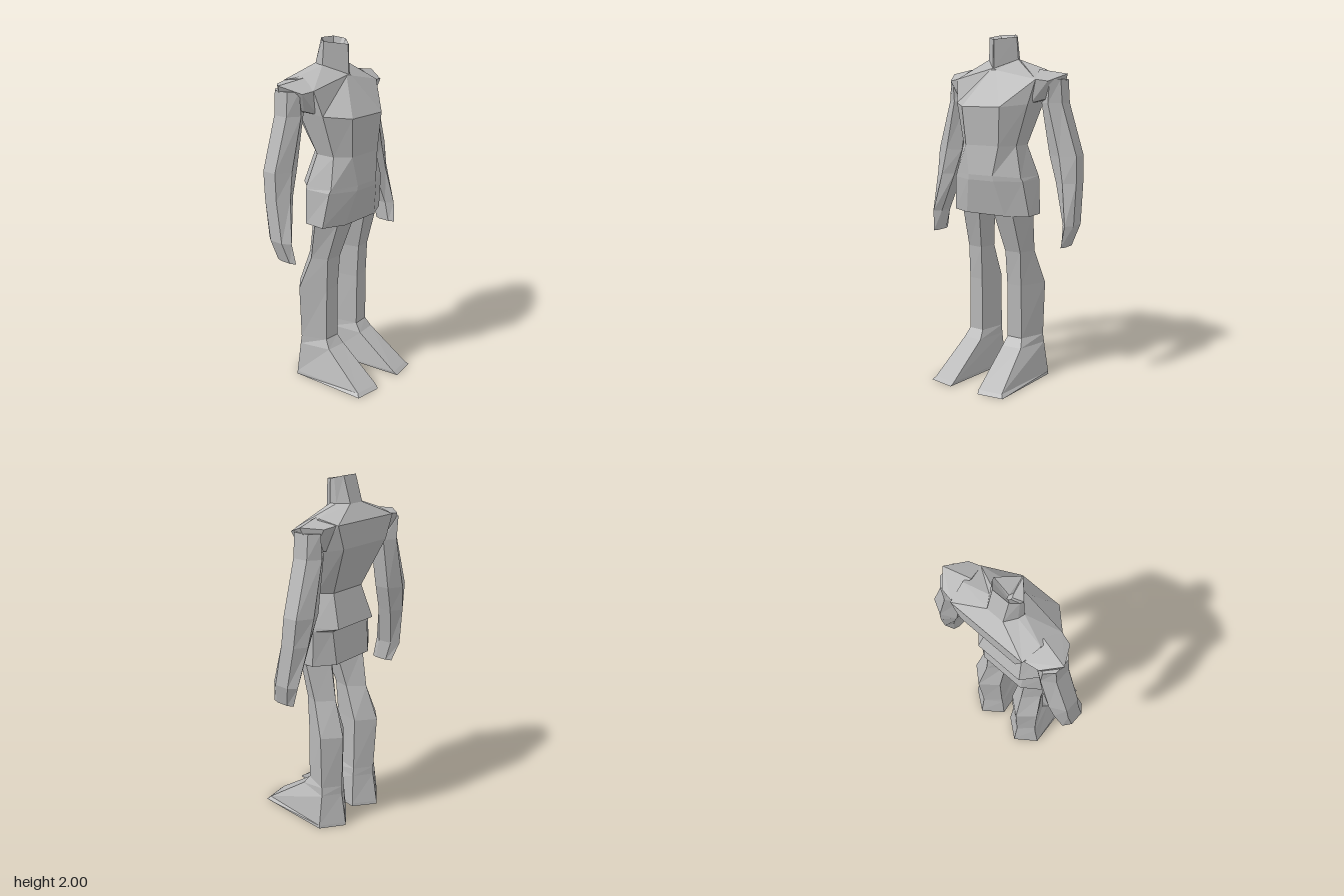
import * as THREE from 'three';
import { ConvexGeometry } from 'three/addons/geometries/ConvexGeometry.js';

// Skin between rings listed bottom to top; points run front, +x, back, -x.
function loft(rings) {
  const pos = [];
  const n = rings[0].length;
  const tri = (...pts) => pts.forEach((p) => pos.push(...p));
  for (let r = 0; r < rings.length - 1; r++) {
    const a = rings[r], b = rings[r + 1];
    for (let i = 0; i < n; i++) {
      const j = (i + 1) % n;
      tri(a[i], a[j], b[j]);
      tri(a[i], b[j], b[i]);
    }
  }
  const bottom = rings[0], top = rings[rings.length - 1];
  for (let i = 1; i < n - 1; i++) {
    tri(bottom[0], bottom[i + 1], bottom[i]);
    tri(top[0], top[i], top[i + 1]);
  }
  const g = new THREE.BufferGeometry();
  g.setAttribute('position', new THREE.Float32BufferAttribute(pos, 3));
  g.computeVertexNormals();
  return g;
}

const flip = ([x, y, z]) => [-x, y, z];
// Complete a half ring by mirroring it across x = 0
const whole = (half) => [...half, ...half.map(flip).reverse()];
// Put a limb on the chosen side
const onSide = (rings, s) => (s > 0 ? rings : rings.map((r) => r.map(flip).reverse()));

export function createModel() {
  const group = new THREE.Group();
  const grey = new THREE.MeshStandardMaterial({ color: 0xb8b8b8, flatShading: true, side: THREE.DoubleSide });
  grey.name = 'plain grey';
  const add = (name, geometry) => {
    const mesh = new THREE.Mesh(geometry, grey);
    mesh.name = name;
    group.add(mesh);
  };

  // Hips, with a small ledge across the back
  add('hips', loft([
    [[0.13, 0.99, 0.07], [0.255, 0.99, 0.01], [0.25, 0.99, -0.12], [0.14, 0.99, -0.2]],
    [[0.085, 1.19, 0.118], [0.23, 1.19, 0.04], [0.243, 1.19, -0.12], [0.15, 1.18, -0.18]],
    [[0.08, 1.22, 0.12], [0.22, 1.21, 0.045], [0.238, 1.21, -0.12], [0.15, 1.2, -0.22]],
    [[0.11, 1.385, 0.105], [0.18, 1.385, 0.03], [0.18, 1.385, -0.09], [0.12, 1.385, -0.16]],
  ].map(whole)));

  // Chest, widening from the waist to the shoulders
  add('chest', loft([
    [[0.11, 1.385, 0.105], [0.18, 1.385, 0.03], [0.18, 1.385, -0.09], [0.12, 1.385, -0.16]],
    [[0.125, 1.6, 0.12], [0.24, 1.615, 0.01], [0.24, 1.63, -0.17], [0.18, 1.65, -0.275]],
    [[0.02, 1.8, -0.01], [0.265, 1.75, -0.03], [0.25, 1.805, -0.17], [0.23, 1.78, -0.28]],
    [[0.005, 1.81, -0.01], [0.1, 1.86, -0.115], [0.09, 1.86, -0.15], [0.05, 1.86, -0.21]],
  ].map(whole)));

  // Neck with a hollow top
  add('neck', loft([
    [[0.003, 1.81, -0.01], [0.1, 1.86, -0.115], [0.09, 1.86, -0.15], [0.05, 1.86, -0.21]],
    [[0.003, 1.97, -0.015], [0.092, 1.985, -0.11], [0.085, 1.99, -0.13], [0.05, 2, -0.165]],
    [[0.001, 1.89, -0.08], [0.01, 1.89, -0.1], [0.01, 1.89, -0.11], [0.005, 1.89, -0.12]],
  ].map(whole)));

  // Arm sections: y, inner x, outer x, back z, front z
  const armRings = [
    [0.83, 0.43, 0.458, -0.155, -0.015],
    [0.95, 0.425, 0.492, -0.2, -0.03],
    [1.18, 0.355, 0.483, -0.24, -0.07],
    [1.33, 0.305, 0.475, -0.255, -0.08],
    [1.62, 0.255, 0.385, -0.25, -0.07],
    [1.75, 0.285, 0.375, -0.25, -0.07],
  ].map(([y, xi, xo, zb, zf]) => {
    const xm = (xi + xo) / 2, q = (zf - zb) / 4;
    return [[xm, y, zf], [xo, y, zf - q], [xo, y, zb + q], [xm, y, zb], [xi, y, zb + q], [xi, y, zf - q]];
  });

  // Leg and foot sections: two front corners, outer side, back, inner side
  const legRings = [
    [0, [0.095, 0.29], [0.248, 0.268], [0.28, -0.19], [0.152, -0.285], [0.03, -0.19]],
    [0.018, [0.088, 0.27], [0.232, 0.25], [0.278, -0.19], [0.152, -0.283], [0.031, -0.19]],
    [0.2, [0.08, 0.01], [0.2, 0], [0.25, -0.185], [0.15, -0.252], [0.045, -0.18]],
    [0.25, [0.09, -0.03], [0.185, -0.035], [0.245, -0.18], [0.15, -0.252], [0.05, -0.18]],
    [0.57, [0.09, -0.025], [0.18, -0.03], [0.255, -0.18], [0.158, -0.265], [0.052, -0.18]],
    [0.77, [0.085, -0.01], [0.18, -0.02], [0.222, -0.11], [0.14, -0.195], [0.06, -0.11]],
    [1.0, [0.05, 0.06], [0.17, 0.05], [0.24, -0.06], [0.14, -0.16], [0.02, -0.06]],
  ].map(([y, ...pts]) => pts.map(([x, z]) => [x, y, z]));

  // Faceted shoulder cap
  const shoulder = [
    [0.23, 1.805, -0.13], [0.23, 1.62, -0.04], [0.23, 1.64, -0.2], [0.26, 1.75, -0.03], [0.235, 1.78, -0.27],
    [0.39, 1.78, -0.165], [0.33, 1.74, -0.05], [0.31, 1.77, -0.255], [0.29, 1.64, -0.08], [0.34, 1.65, -0.2],
  ];

  for (const [side, s] of [['left', 1], ['right', -1]]) {
    add(side + 'Arm', loft(onSide(armRings, s)));
    add(side + 'Leg', loft(onSide(legRings, s)));
    add(side + 'Shoulder', new ConvexGeometry(shoulder.map(([x, y, z]) => new THREE.Vector3(s * x, y, z))));
  }
  return group;
}
